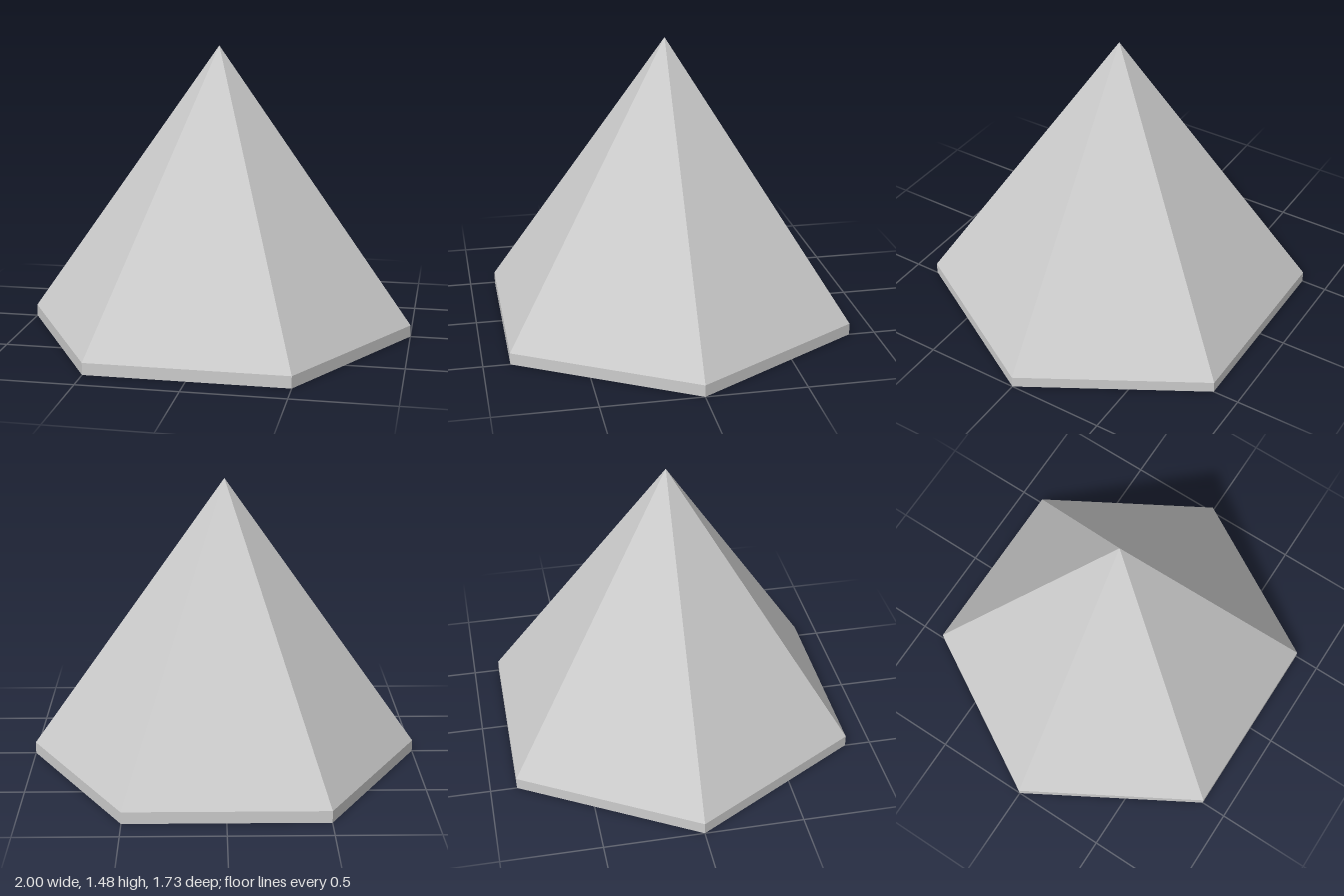
import * as THREE from 'three';

const SIDES = 6, RADIUS = 1, RIM = 0.06, HEIGHT = 1.48;

export function createModel() {
  const model = new THREE.Group();
  model.name = 'hexagonalPyramid';
  const grey = new THREE.MeshStandardMaterial({ color: 0xcccccc });
  grey.name = 'light grey';

  // Adds a part with one flat normal per face
  const add = (name, geometry, y) => {
    const flat = geometry.toNonIndexed();
    flat.computeVertexNormals();
    const mesh = new THREE.Mesh(flat, grey);
    mesh.name = name;
    mesh.position.y = y;
    model.add(mesh);
  };

  // Six sloping faces, with corners on the x axis
  const slope = HEIGHT - RIM;
  add('pyramidFaces', new THREE.ConeGeometry(RADIUS, slope, SIDES, 1, true, Math.PI / 2), RIM + slope / 2);

  // Short upright rim below the slopes
  add('baseRim', new THREE.CylinderGeometry(RADIUS, RADIUS, RIM, SIDES, 1, true, Math.PI / 2), RIM / 2);

  // Flat underside
  add('underside', new THREE.CircleGeometry(RADIUS, SIDES).rotateX(Math.PI / 2), 0);

  return model;
}
